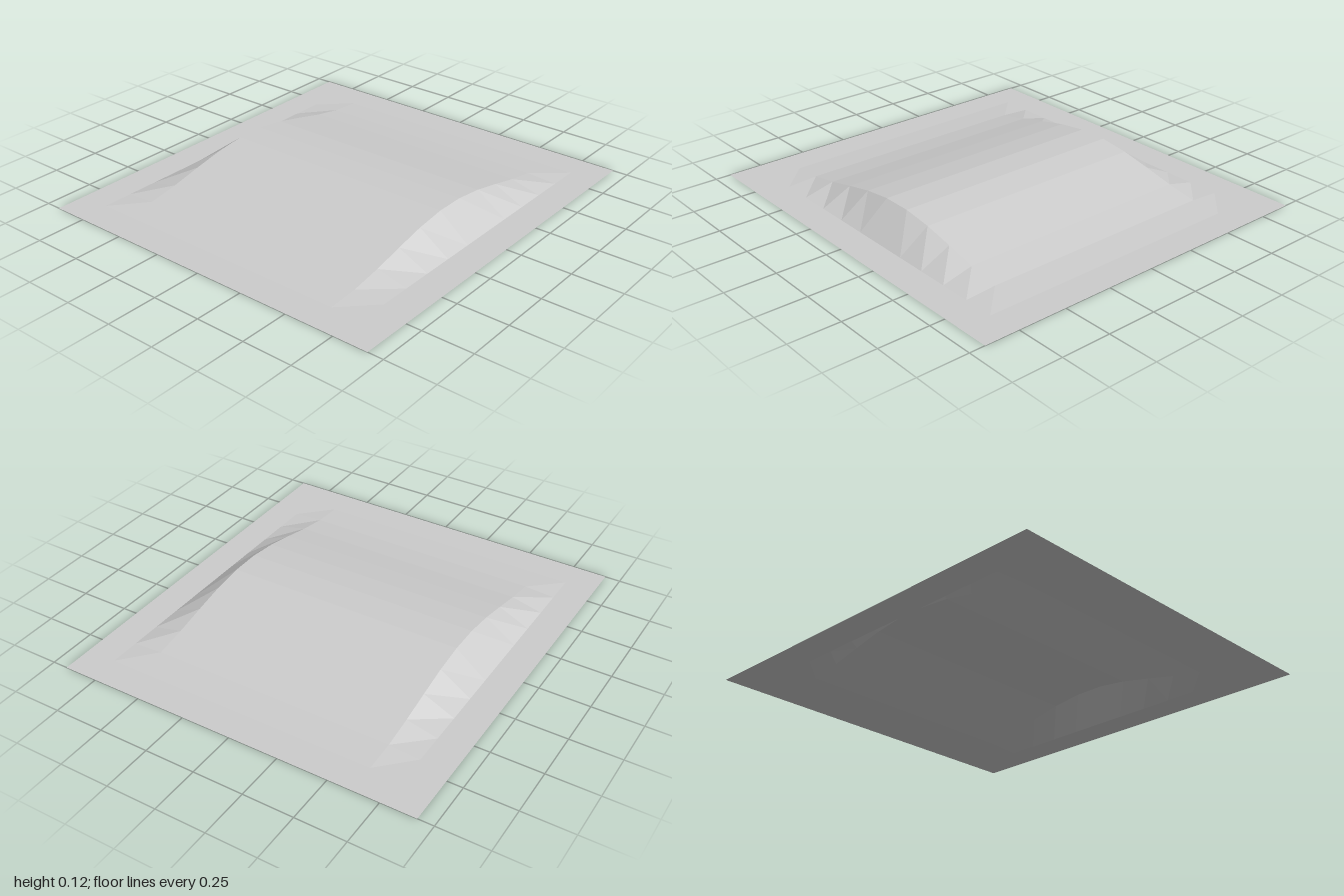
import * as THREE from 'three';

const CELL = 2 / 13; // square grid cell: 12 across, 13 deep

export function createModel() {
  const group = new THREE.Group();
  group.name = 'moundTile';

  const grey = new THREE.MeshStandardMaterial({ color: 0xcccccc, side: THREE.DoubleSide });
  grey.name = 'pale grey';
  grey.flatShading = true;

  // Flat sheet lying on the ground
  const sheet = new THREE.PlaneGeometry(12 * CELL, 13 * CELL, 12, 13).rotateX(-Math.PI / 2);

  // Raise the middle into a cosine ridge along x, with one cell of slope at each end
  const p = sheet.attributes.position;
  const reach = 5.5 * CELL;
  for (let i = 0; i < p.count; i++) {
    const x = Math.abs(p.getX(i));
    const z = Math.abs(p.getZ(i));
    const raised = x < 4.5 * CELL && z < reach;
    p.setY(i, raised ? 0.063 * (1 + Math.cos((Math.PI * z) / reach)) : 0);
  }

  // Separate facets for a low-poly look
  const faceted = sheet.toNonIndexed();
  faceted.computeVertexNormals();

  const mound = new THREE.Mesh(faceted, grey);
  mound.name = 'raisedGroundSheet';
  group.add(mound);
  return group;
}
